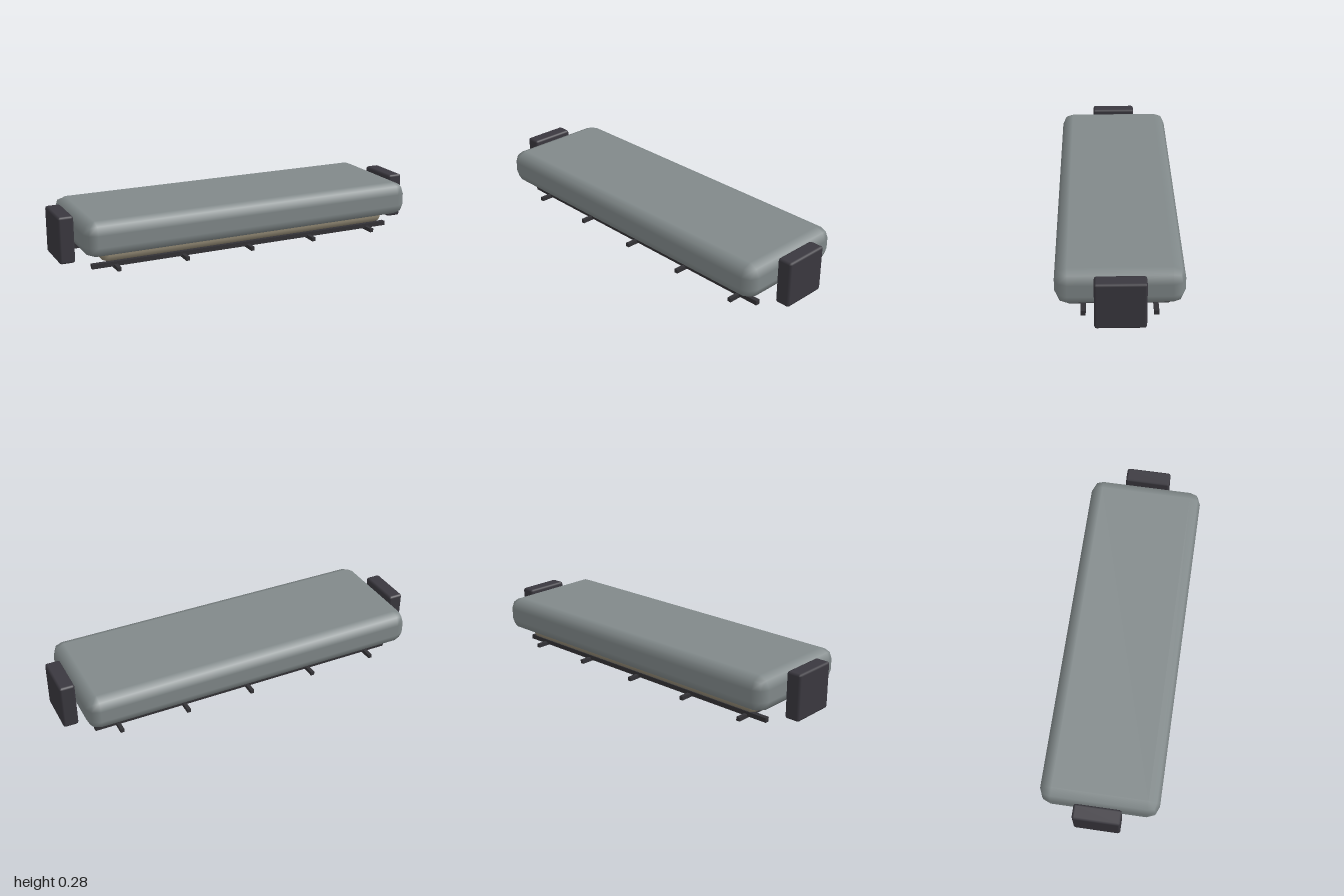
import * as THREE from 'three';
import { RoundedBoxGeometry } from 'three/addons/geometries/RoundedBoxGeometry.js';

export function createModel() {
  const group = new THREE.Group();
  const mat = (color) => new THREE.MeshStandardMaterial({ color });
  const hullGrey = mat(0x81898a);
  const tan = mat(0x8f8672);
  const dark = mat(0x3a383f);
  const frameDark = mat(0x333236);

  function add(name, geometry, material, x, y, z) {
    const mesh = new THREE.Mesh(geometry, material);
    mesh.name = name;
    mesh.position.set(x, y, z);
    group.add(mesh);
  }

  // Main slab and the smaller pad beneath it, edges rounded in two facets
  add('mainSlab', new RoundedBoxGeometry(1.834, 0.183, 0.614, 1, 0.061), hullGrey, 0, 0.1845, 0);
  add('lowerPad', new RoundedBoxGeometry(1.63, 0.08, 0.45, 1, 0.036), tan, 0, 0.082, 0);

  // End blocks
  for (const side of [1, -1]) {
    const name = side > 0 ? 'leftEndBlock' : 'rightEndBlock';
    add(name, new RoundedBoxGeometry(0.08, 0.243, 0.244, 1, 0.012), dark, side * 0.96, 0.1535, 0);
  }

  // Long rails of the under-frame
  for (const side of [1, -1]) {
    const name = side > 0 ? 'frontRail' : 'backRail';
    add(name, new THREE.BoxGeometry(1.714, 0.024, 0.024), frameDark, 0, 0.021, side * 0.174);
  }

  // Cross bars under the rails
  for (let i = -2; i <= 2; i++) {
    add('crossBar' + (i + 3), new THREE.BoxGeometry(0.02, 0.02, 0.49), frameDark, i * 0.3675, 0.01, 0);
  }

  return group;
}
